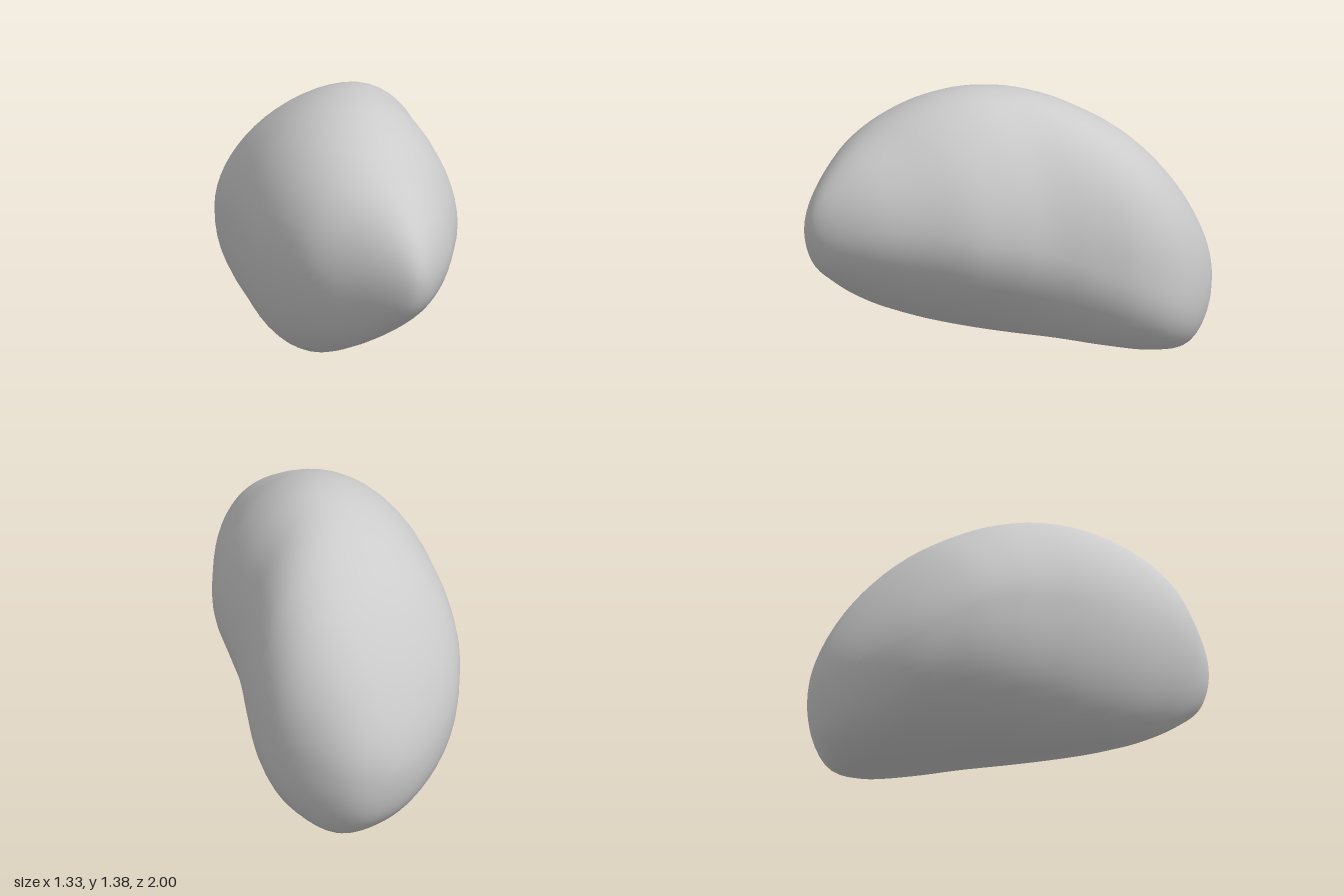
import * as THREE from 'three';
import { mergeVertices } from 'three/addons/utils/BufferGeometryUtils.js';

// Cross-sections from front tip to back tip, each given by its four extreme points:
// z, left x, left y, top x, top y, right x, right y, bottom x, bottom y
const SECTIONS = [
  [1.00, -0.21, 0.77, -0.21, 0.77, -0.21, 0.77, -0.21, 0.77],
  [0.95, -0.31, 0.76, -0.20, 0.93, -0.09, 0.76, -0.22, 0.59],
  [0.80, -0.45, 0.75, -0.20, 1.09, 0.08, 0.77, -0.27, 0.45],
  [0.60, -0.60, 0.75, -0.19, 1.22, 0.235, 0.77, -0.34, 0.31],
  [0.40, -0.655, 0.75, -0.14, 1.32, 0.365, 0.75, -0.36, 0.21],
  [0.20, -0.665, 0.74, -0.08, 1.375, 0.435, 0.72, -0.31, 0.14],
  [0.00, -0.635, 0.75, -0.03, 1.378, 0.49, 0.66, -0.20, 0.095],
  [-0.20, -0.58, 0.75, 0.03, 1.335, 0.575, 0.58, -0.03, 0.075],
  [-0.40, -0.52, 0.72, 0.08, 1.24, 0.65, 0.49, 0.14, 0.045],
  [-0.60, -0.43, 0.64, 0.14, 1.10, 0.662, 0.41, 0.28, 0.015],
  [-0.80, -0.26, 0.50, 0.20, 0.87, 0.58, 0.37, 0.34, 0.01],
  [-0.95, 0.00, 0.41, 0.23, 0.60, 0.44, 0.36, 0.28, 0.13],
  [-1.00, 0.24, 0.37, 0.24, 0.37, 0.24, 0.37, 0.24, 0.37],
];

const STEPS = 5;
const COLUMNS = 56;

// Section beyond a tip: the neighbour mirrored through it, so that the end closes round
const mirrored = (tip, next) => tip.map((v, k) => (k === 0 ? next[k] : 2 * v - next[k]));

function catmull(a, b, c, d, t) {
  return 0.5 * (2 * b + (c - a) * t + (2 * a - 5 * b + 4 * c - d) * t * t
    + (3 * b - a - 3 * c + d) * t * t * t);
}

// Smoothly interpolated list of sections
function smoothSections() {
  const n = SECTIONS.length;
  const rows = [
    mirrored(SECTIONS[0], SECTIONS[1]), ...SECTIONS,
    mirrored(SECTIONS[n - 1], SECTIONS[n - 2]),
  ];
  const out = [];
  for (let i = 1; i < n; i++) {
    for (let s = 0; s < STEPS; s++) {
      out.push(rows[i].map((v, k) => catmull(rows[i - 1][k], v, rows[i + 1][k], rows[i + 2][k], s / STEPS)));
    }
  }
  out.push(SECTIONS[n - 1]);
  return out;
}

// Fullness of a section's quarter: the rock is boxier towards the back
function fullness(z, right, upper) {
  const bump = (centre, width) => Math.exp(-(((z - centre) / width) ** 2));
  if (right) return 1.91 + (upper ? 0.35 : 0.45) * bump(-0.55, 0.45);
  return upper ? 1.95 : 1.93 + 0.42 * bump(-0.3, 0.4);
}

// Point on a section: one superellipse quarter between neighbouring extreme points
function sectionPoint([z, xl, yl, xt, yt, xr, yr, xb, yb], angle) {
  const c = Math.cos(angle), s = Math.sin(angle);
  const right = c >= 0, upper = s >= 0;
  const power = 2 / fullness(z, right, upper);
  const cx = upper ? xt : xb, cy = right ? yr : yl;
  return [
    cx + ((right ? xr : xl) - cx) * Math.abs(c) ** power,
    cy + ((upper ? yt : yb) - cy) * Math.abs(s) ** power,
    z,
  ];
}

function boulderGeometry() {
  const rows = smoothSections();
  const positions = [], index = [];
  rows.forEach((row, i) => {
    for (let j = 0; j < COLUMNS; j++) {
      positions.push(...sectionPoint(row, (j / COLUMNS) * Math.PI * 2));
      if (i === rows.length - 1) continue;
      const k = (j + 1) % COLUMNS;
      const a = i * COLUMNS + j, b = a + COLUMNS;
      const c = i * COLUMNS + k, d = c + COLUMNS;
      if (i < rows.length - 2) index.push(a, b, d);
      else index.push(a, b, c);
      if (i > 0 && i < rows.length - 2) index.push(a, d, c);
    }
  });
  let geometry = new THREE.BufferGeometry();
  geometry.setAttribute('position', new THREE.Float32BufferAttribute(positions, 3));
  geometry.setIndex(index);
  geometry = mergeVertices(geometry, 1e-5); // weld the tips
  geometry.computeVertexNormals();
  return geometry;
}

export function createModel() {
  const group = new THREE.Group();
  group.name = 'rock';
  const boulder = new THREE.Mesh(boulderGeometry(), new THREE.MeshStandardMaterial({ color: 0xcccccc }));
  boulder.name = 'boulder';
  group.add(boulder);
  return group;
}
